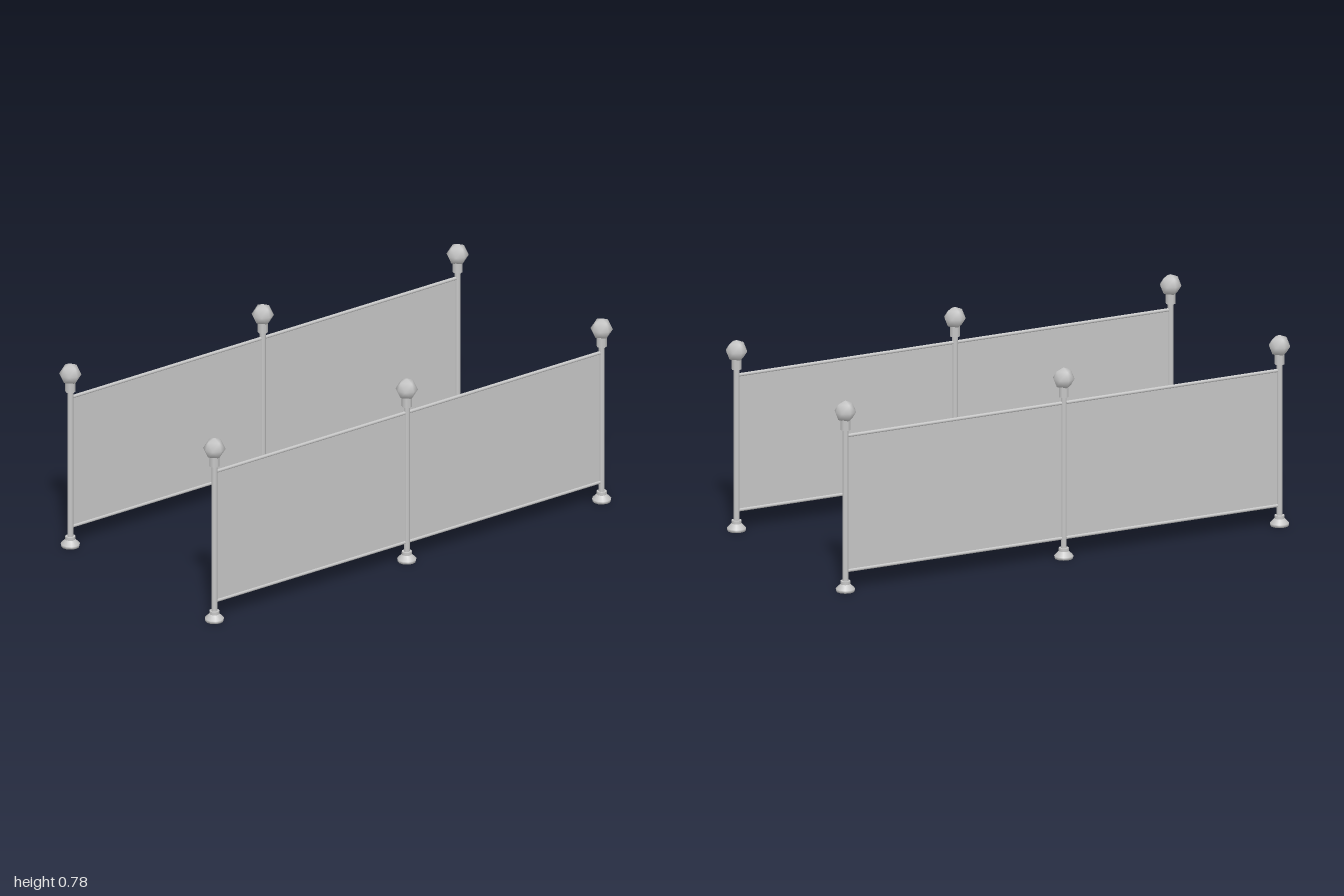
import * as THREE from 'three';

const POSTS_X = [-0.956, -0.006, 0.956];
const SIDE_Z = 0.46;

export function createModel() {
  const grey = new THREE.MeshStandardMaterial({ color: 0xc7c7c7 });
  grey.name = 'light grey metal';

  const add = (parent, name, geometry, x, y, z = 0) => {
    const mesh = new THREE.Mesh(geometry, grey);
    mesh.name = name;
    mesh.position.set(x, y, z);
    parent.add(mesh);
  };

  // Shared post parts
  const shaft = new THREE.CylinderGeometry(0.012, 0.012, 0.66, 8, 1, true);
  const collar = new THREE.CylinderGeometry(0.02, 0.02, 0.042, 8);
  const finial = new THREE.OctahedronGeometry(0.044, 1);
  const baseRing = new THREE.CylinderGeometry(0.02, 0.02, 0.016, 12);
  const foot = new THREE.LatheGeometry(
    [[0, 0], [0.036, 0], [0.038, 0.012], [0.02, 0.03]].map(([r, y]) => new THREE.Vector2(r, y)), 12);

  function makePost(x) {
    const post = new THREE.Group();
    post.name = 'post';
    post.position.x = x;
    add(post, 'shaft', shaft, 0, 0.35);
    add(post, 'collar', collar, 0, 0.68);
    add(post, 'ballFinial', finial, 0, 0.734);
    add(post, 'baseRing', baseRing, 0, 0.035);
    add(post, 'foot', foot, 0, 0);
    return post;
  }

  // One railing: three posts with two framed panels between them
  function makeRailing(z) {
    const railing = new THREE.Group();
    railing.name = z > 0 ? 'frontRailing' : 'backRailing';
    railing.position.z = z;
    POSTS_X.forEach((x) => railing.add(makePost(x)));
    for (let i = 0; i < 2; i++) {
      const width = POSTS_X[i + 1] - POSTS_X[i] - 0.02;
      const x = (POSTS_X[i] + POSTS_X[i + 1]) / 2;
      const rail = new THREE.CylinderGeometry(0.007, 0.007, width, 8).rotateZ(Math.PI / 2);
      add(railing, 'topRail', rail, x, 0.634);
      add(railing, 'bottomRail', rail, x, 0.083);
      add(railing, 'panel', new THREE.BoxGeometry(width, 0.55, 0.004), x, 0.358);
    }
    return railing;
  }

  const model = new THREE.Group();
  model.name = 'railings';
  model.add(makeRailing(SIDE_Z), makeRailing(-SIDE_Z));
  return model;
}
